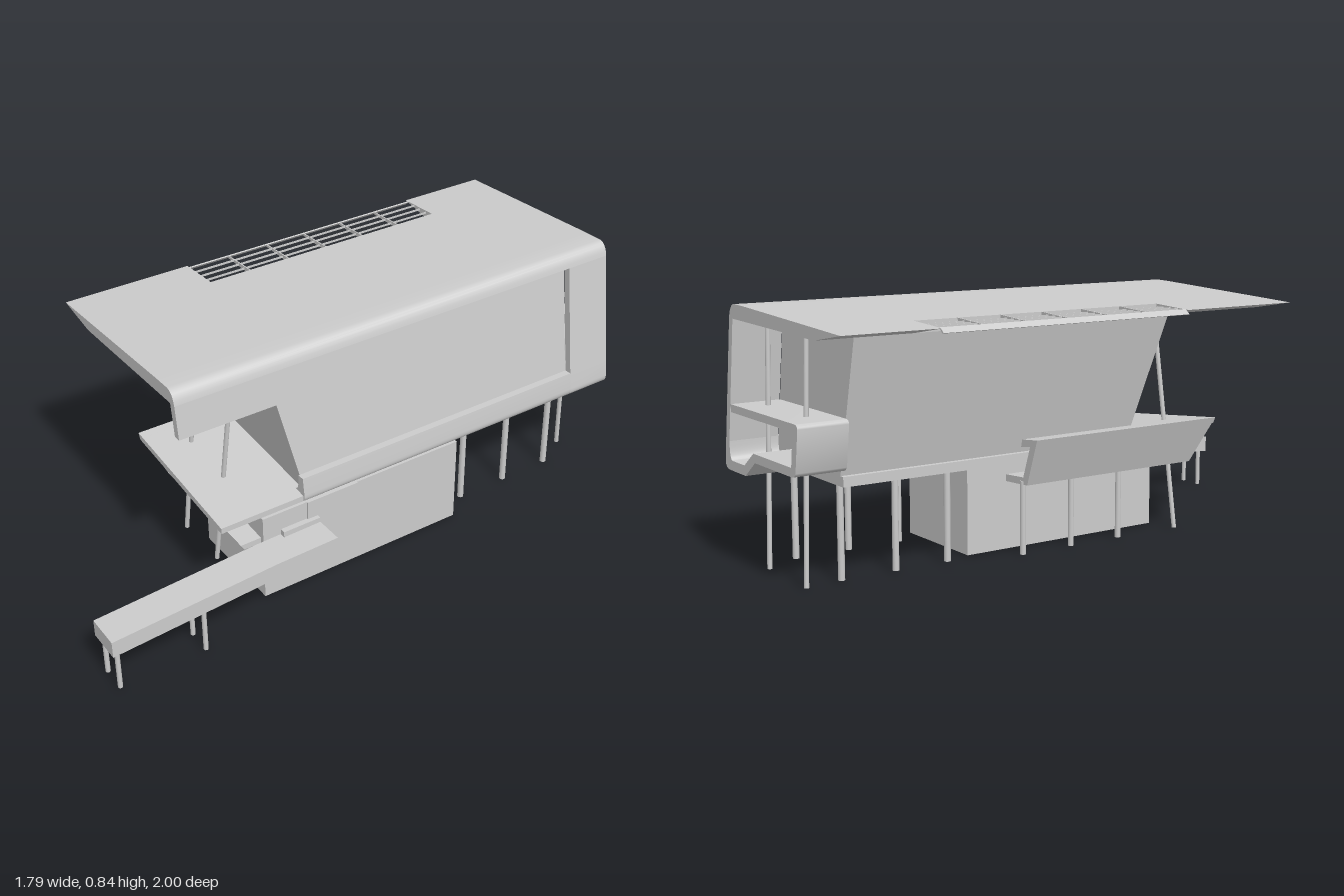
import * as THREE from 'three';
import { toCreasedNormals } from 'three/addons/utils/BufferGeometryUtils.js';

const mat = new THREE.MeshStandardMaterial({ color: 0xcccccc, side: THREE.DoubleSide });

export function createModel() {
  const model = new THREE.Group();
  model.name = 'stiltHouse';
  const house = new THREE.Group();
  house.name = 'house';
  house.rotation.y = THREE.MathUtils.degToRad(40);
  model.add(house);

  const add = (name, geometry) => {
    const mesh = new THREE.Mesh(geometry, mat);
    mesh.name = name;
    house.add(mesh);
    return mesh;
  };

  // Cross-section in (z, y), run along x from x0 to x1. Points with four numbers are curves.
  const prism = (name, pts, x0, x1) => {
    const s = new THREE.Shape();
    pts.forEach((p, i) => {
      if (i === 0) s.moveTo(-p[0], p[1]);
      else if (p.length === 4) s.quadraticCurveTo(-p[0], p[1], -p[2], p[3]);
      else s.lineTo(-p[0], p[1]);
    });
    const g = new THREE.ExtrudeGeometry(s, { depth: x1 - x0, bevelEnabled: false, curveSegments: 6 });
    g.rotateY(Math.PI / 2).translate(x0, 0, 0);
    return add(name, toCreasedNormals(g, 0.6));
  };

  const box = (name, x0, x1, y0, y1, z0, z1) => add(name,
    new THREE.BoxGeometry(x1 - x0, y1 - y0, z1 - z0)
      .translate((x0 + x1) / 2, (y0 + y1) / 2, (z0 + z1) / 2));

  // Box whose top and bottom are different rectangles [x0, x1, z0, z1]
  const taperedBox = (name, y0, y1, low, high) => {
    const g = new THREE.BoxGeometry(1, 1, 1), p = g.attributes.position;
    for (let i = 0; i < p.count; i++) {
      const top = p.getY(i) > 0, r = top ? high : low;
      p.setXYZ(i, p.getX(i) < 0 ? r[0] : r[1], top ? y1 : y0, p.getZ(i) < 0 ? r[2] : r[3]);
    }
    g.computeVertexNormals();
    return add(name, g);
  };

  const post = (name, a, b, r) => {
    const from = new THREE.Vector3(...a), to = new THREE.Vector3(...b);
    const m = add(name, new THREE.CylinderGeometry(r, r, from.distanceTo(to), 10));
    m.position.copy(from).add(to).multiplyScalar(0.5);
    m.quaternion.setFromUnitVectors(new THREE.Vector3(0, 1, 0), to.sub(from).normalize());
  };

  // Leaning front wall: outer face position at height y, and wall thickness
  const face = y => 0.204 + (0.8 - y) * 0.137, t = 0.025;
  const wall = (name, y0, y1, x0, x1) => prism(name,
    [[face(y0), y0], [face(y1), y1], [face(y1) - t, y1], [face(y0) - t, y0]], x0, x1);

  // Roof with rounded front corner, and its thin rear overhang around the skylight
  prism('roof', [[-0.36, 0.811], [0.1, 0.834], [0.165, 0.836], [0.197, 0.836, face(0.79), 0.79],
    [face(0.79) - t, 0.79], [-0.36, 0.775]], -0.741, 0.943);
  const eave = [[-0.517, 0.803], [-0.36, 0.811], [-0.36, 0.775]];
  prism('leftEave', eave, -0.741, -0.293);
  prism('rightEave', eave, 0.62, 0.943);
  prism('skylightEdge', [[-0.522, 0.79], [-0.503, 0.805], [-0.498, 0.803], [-0.515, 0.788]], -0.293, 0.62);

  // Skylight bars
  for (let i = 1; i < 6; i++) {
    const x = -0.293 + 0.913 * i / 6;
    prism('skylightCrossBar', [[-0.5, 0.803], [-0.36, 0.811], [-0.36, 0.795], [-0.5, 0.795]], x - 0.002, x + 0.002);
  }
  for (const z of [-0.465, -0.43, -0.395]) {
    box('skylightLongBar', -0.293, 0.62, 0.798, 0.805, z - 0.001, z + 0.001);
  }

  // Front shell around the large window
  wall('frontFascia', 0.68, 0.79, -0.741, -0.28);
  wall('endPier', 0.4, 0.79, 0.775, 0.943);
  const sill = [[face(0.4), 0.4], [face(0.34), 0.34], [face(0.31), 0.308, 0.235, 0.308]];
  const sillInside = [[0.215, 0.34], [0.235, 0.34, face(0.4) - t, 0.4]];
  prism('floorAndSill', [...sill, [-0.2, 0.308], [-0.2, 0.34], ...sillInside], -0.34, 0.775);
  prism('endFloorAndSill', [...sill, [0.12, 0.308], [0.12, 0.34], ...sillInside], 0.775, 0.943);

  // Glazed living volume, flaring upward
  taperedBox('livingVolume', 0.33, 0.8, [-0.32, 0.775, -0.18, 0.24], [-0.42, 0.775, -0.29, 0.177]);

  // Looped balcony at the far end
  prism('endBalcony', [[0.21, 0.308], [0.12, 0.308], [0.05, 0.36], [-0.2, 0.36], [-0.222, 0.36, -0.226, 0.38],
    [-0.243, 0.5], [-0.246, 0.52, -0.225, 0.52], [0.215, 0.52], [0.215, 0.495], [-0.212, 0.495],
    [-0.198, 0.388], [0.06, 0.388], [0.13, 0.338], [0.21, 0.338]], 0.775, 0.943);

  // Sloping terrace: deck, rear wall and underside, with a raked end
  const rake = mesh => {
    const p = mesh.geometry.attributes.position;
    for (let i = 0; i < p.count; i++) {
      if (p.getX(i) < -0.5) p.setX(i, p.getX(i) + Math.max(0, 0.36 - p.getY(i)) * 0.55);
    }
    mesh.geometry.computeVertexNormals();
  };
  prism('terraceDeck', [[0.26, 0.335], [-0.275, 0.391], [-0.265, 0.37], [0.26, 0.315]], -0.64, -0.3);
  rake(prism('terraceRearWall', [[-0.275, 0.391], [-0.22, 0.235], [-0.19, 0.235], [-0.245, 0.388]], -0.64, 0.12));
  rake(prism('terraceUnderside', [[-0.22, 0.235], [0.25, 0.21], [0.25, 0.23], [-0.2, 0.258]], -0.64, 0.12));
  prism('terraceLedge', [[-0.275, 0.391], [-0.18, 0.381], [-0.18, 0.355], [-0.265, 0.37]], -0.3, 0.12);

  // Ground-floor block: solid top, open underneath between thin walls
  box('groundFloor', -0.495, 0.272, 0.18, 0.31, -0.1, 0.265);
  for (const x of [-0.495, 0.264]) box('groundEndWall', x, x + 0.008, 0, 0.18, -0.1, 0.265);
  for (const z of [-0.1, 0.257]) box('groundSideWall', -0.487, 0.264, 0, 0.18, z, z + 0.008);

  // Entrance ramp, landing and stair side
  const ramp = new THREE.Shape([[-1.09, 0.135], [-0.52, 0.17], [-0.293, 0.17], [-0.293, 0.228],
    [-0.52, 0.224], [-1.09, 0.192]].map(p => new THREE.Vector2(...p)));
  add('entranceRamp', new THREE.ExtrudeGeometry(ramp, { depth: 0.12, bevelEnabled: false }).translate(0, 0, 0.265));
  box('landing', -0.43, -0.293, 0.17, 0.245, 0.255, 0.285);
  box('stairSide', -0.33, -0.137, 0.17, 0.31, 0.25, 0.27);
  for (const [x, y] of [[-1.072, 0.145], [-0.777, 0.165]]) {
    for (const z of [0.29, 0.372]) post('rampLeg', [x, 0, z], [x, y, z], 0.008);
  }

  // Short stilts under the floor and terrace
  for (const x of [0.362, 0.553, 0.745]) {
    for (const z of [0.19, -0.12]) post('floorStilt', [x, 0, z], [x, 0.315, z], 0.011);
  }
  for (const x of [0.115, -0.08, -0.28]) post('terraceStilt', [x, 0, -0.19], [x, 0.245, -0.19], 0.01);

  // Tall leaning columns up to the roof
  for (const [x0, z0, x1, z1] of [[-0.525, -0.2, -0.495, -0.1], [-0.525, 0.005, -0.49, 0.11],
    [0.872, -0.135, 0.845, -0.12], [0.87, 0.123, 0.845, 0.14]]) {
    post('roofColumn', [x0, 0, z0], [x1, 0.8, z1], 0.008);
  }
  return model;
}
